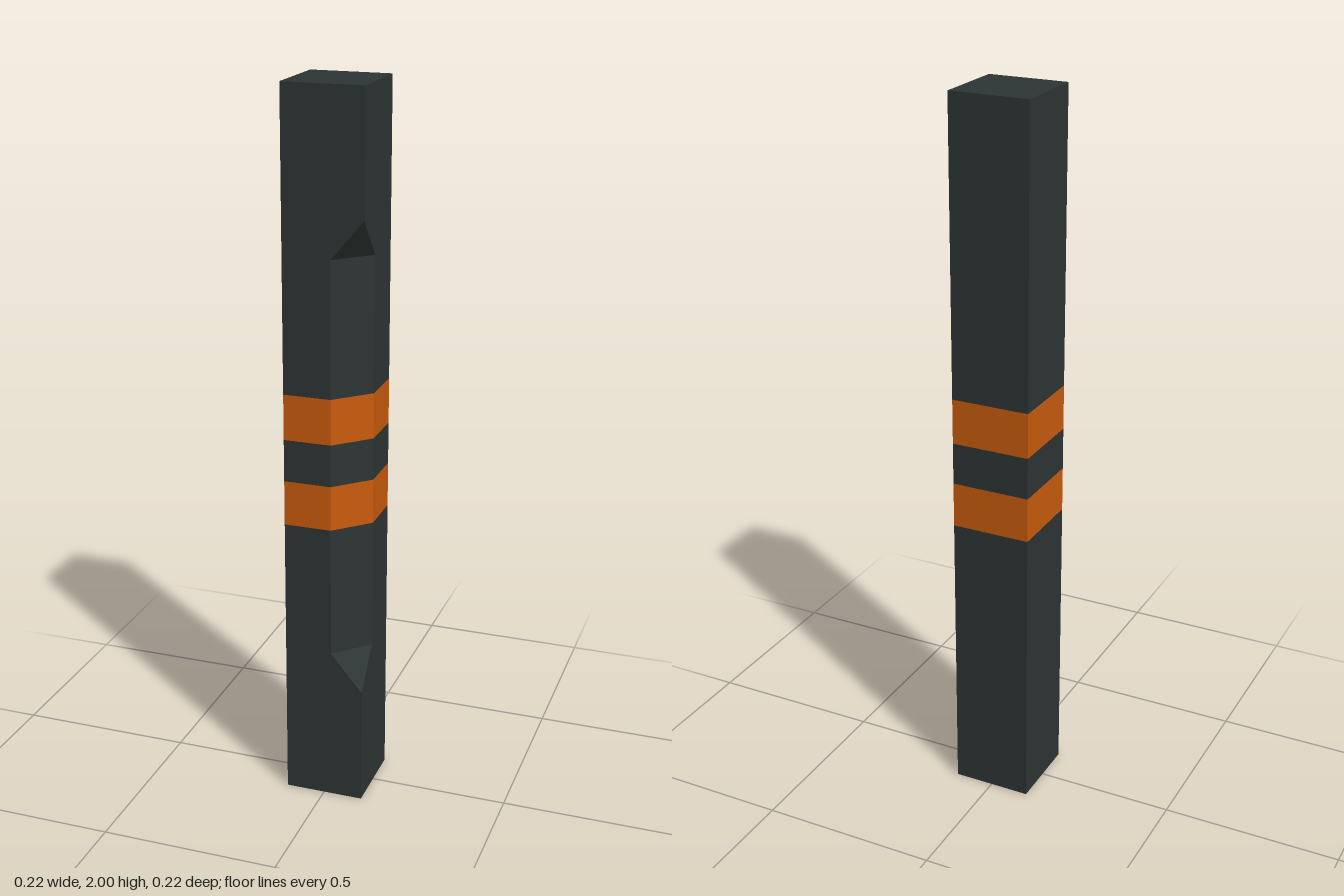
import * as THREE from 'three';

const HALF = 0.111; // half the post's width
const CUT = 0.09;   // depth of the chamfer on the front left corner

// Chamfer depth at a given height: tapers out to nothing at both ends
function cutAt(y) {
  const d = Math.abs(y - 1.004);
  return CUT * THREE.MathUtils.clamp((0.664 - d) / 0.107, 0, 1);
}

// Five-cornered square section, counter-clockwise seen from above
function section(y) {
  const h = HALF, c = cutAt(y);
  return [[-h, h], [h - c, h], [h, h - c], [h, -h], [-h, -h]]
    .map(([x, z]) => new THREE.Vector3(x, y, z));
}

// Lofts the sections at the given heights, with optional end caps
function loft(heights, capBottom = false, capTop = false) {
  const pos = [];
  const tri = (a, b, c) => {
    if (new THREE.Triangle(a, b, c).getArea() < 1e-7) return;
    for (const p of [a, b, c]) pos.push(p.x, p.y, p.z);
  };
  const rings = heights.map(section);
  for (let i = 0; i < rings.length - 1; i++) {
    const lo = rings[i], hi = rings[i + 1];
    for (let j = 0; j < 5; j++) {
      const k = (j + 1) % 5;
      tri(lo[j], lo[k], hi[k]);
      tri(lo[j], hi[k], hi[j]);
    }
  }
  const first = rings[0], last = rings[rings.length - 1];
  for (let j = 1; j < 4; j++) {
    if (capBottom) tri(first[0], first[j + 1], first[j]);
    if (capTop) tri(last[0], last[j], last[j + 1]);
  }
  const geo = new THREE.BufferGeometry();
  geo.setAttribute('position', new THREE.Float32BufferAttribute(pos, 3));
  geo.computeVertexNormals();
  return geo;
}

export function createModel() {
  const group = new THREE.Group();
  group.name = 'post';
  const slate = new THREE.MeshStandardMaterial({ color: 0x2e3635 });
  slate.name = 'dark slate';
  const orange = new THREE.MeshStandardMaterial({ color: 0xcb5c0d });
  orange.name = 'orange';

  const add = (name, geo, mat) => {
    const mesh = new THREE.Mesh(geo, mat);
    mesh.name = name;
    group.add(mesh);
  };

  // Stacked from the ground up
  add('lowerPost', loft([0, 0.34, 0.447, 0.817], true), slate);
  add('lowerBand', loft([0.817, 0.943]), orange);
  add('middlePost', loft([0.943, 1.061]), slate);
  add('upperBand', loft([1.061, 1.188]), orange);
  add('upperPost', loft([1.188, 1.561, 1.668, 2], false, true), slate);
  return group;
}
